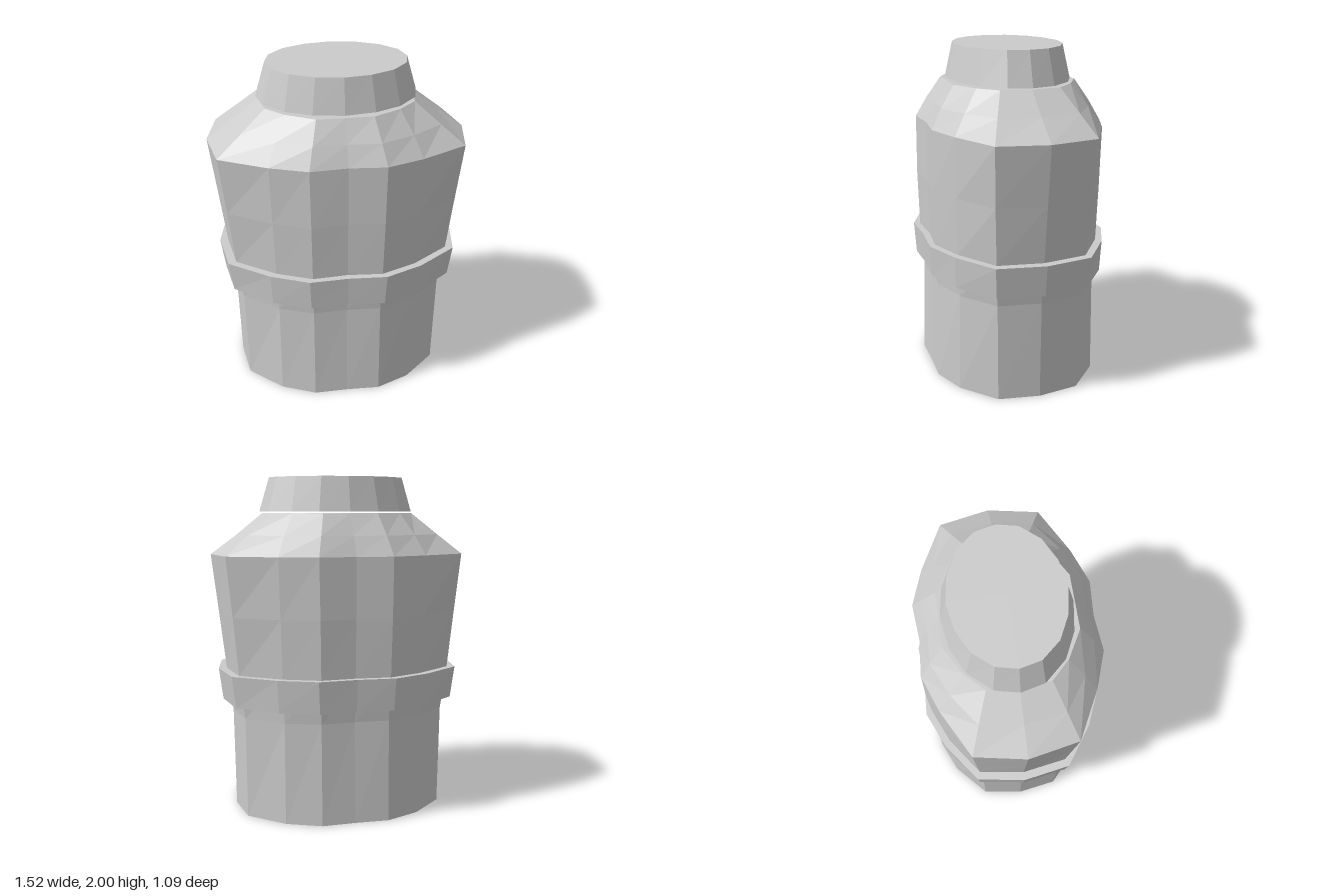
import * as THREE from 'three';

// Mirror a quarter section (from +x round to +z) into a full loop of 16 points.
function fullLoop(y, quarter) {
  const n = quarter.length - 1;
  const loop = [];
  for (let i = 0; i < 4 * n; i++) {
    const q = Math.floor(i / n);
    const k = i % n;
    const [x, z] = quarter[q % 2 ? n - k : k];
    const sx = q === 1 || q === 2 ? -1 : 1;
    const sz = q >= 2 ? -1 : 1;
    loop.push([sx * x, y, sz * z]);
  }
  return loop;
}

// Skin a stack of [height, quarter section] loops with flat facets.
function loft(name, sections, material, capped = true) {
  const loops = sections.map(([y, quarter]) => fullLoop(y, quarter));
  const n = loops[0].length;
  const positions = loops.flat(2);
  const index = [];
  for (let r = 0; r < loops.length - 1; r++) {
    for (let i = 0; i < n; i++) {
      const j = (i + 1) % n;
      const a = r * n + i, b = r * n + j, c = a + n, d = b + n;
      index.push(a, c, b, b, c, d);
    }
  }
  if (capped) {
    const bottom = loops.length * n, top = bottom + 1, last = (loops.length - 1) * n;
    positions.push(0, sections[0][0], 0, 0, sections[sections.length - 1][0], 0);
    for (let i = 0; i < n; i++) {
      const j = (i + 1) % n;
      index.push(bottom, i, j, top, last + j, last + i);
    }
  }
  const indexed = new THREE.BufferGeometry();
  indexed.setAttribute('position', new THREE.Float32BufferAttribute(positions, 3));
  indexed.setIndex(index);
  const geometry = indexed.toNonIndexed();
  geometry.computeVertexNormals();
  const mesh = new THREE.Mesh(geometry, material);
  mesh.name = name;
  return mesh;
}

export function createModel() {
  const group = new THREE.Group();
  group.name = 'torso';
  const grey = new THREE.MeshStandardMaterial({ color: 0xcccccc, flatShading: true });

  // Quarter sections of the trunk, from side to front
  const hem = [[0.635, 0], [0.597, 0.245], [0.4, 0.425], [0.2, 0.51], [0, 0.505]];
  const waist = [[0.645, 0], [0.605, 0.25], [0.4, 0.415], [0.2, 0.49], [0, 0.48]];
  const ribs = [[0.68, 0], [0.638, 0.265], [0.41, 0.425], [0.205, 0.51], [0, 0.495]];
  const chest = [[0.72, 0], [0.67, 0.28], [0.42, 0.432], [0.21, 0.517], [0, 0.5]];
  const shoulder = [[0.762, 0], [0.706, 0.292], [0.43, 0.435], [0.215, 0.512], [0, 0.495]];
  const slope = [[0.605, 0], [0.57, 0.236], [0.385, 0.365], [0.19, 0.45], [0, 0.44]];
  const collar = [[0.45, 0], [0.425, 0.175], [0.32, 0.28], [0.16, 0.368], [0, 0.368]];

  // Trunk with sloping shoulders
  group.add(loft('trunk', [
    [0, hem], [0.6, waist], [0.86, ribs], [1.2, chest],
    [1.55, shoulder], [1.665, slope], [1.79, collar],
  ], grey));

  // Belt: a closed band standing proud of the waist
  const beltLow = [[0.705, 0], [0.66, 0.272], [0.437, 0.445], [0.218, 0.535], [0, 0.525]];
  const beltHigh = [[0.73, 0], [0.683, 0.283], [0.447, 0.452], [0.226, 0.546], [0, 0.534]];
  group.add(loft('belt', [
    [0.67, waist], [0.67, beltLow], [0.86, beltHigh], [0.86, ribs],
  ], grey, false));

  // Tapered neck stump
  const neckLow = [[0.468, 0], [0.435, 0.137], [0.322, 0.262], [0.175, 0.333], [0, 0.36]];
  const neckHigh = [[0.408, 0], [0.38, 0.12], [0.288, 0.226], [0.153, 0.292], [0, 0.317]];
  group.add(loft('neck', [[1.8, neckLow], [2, neckHigh]], grey));

  return group;
}
